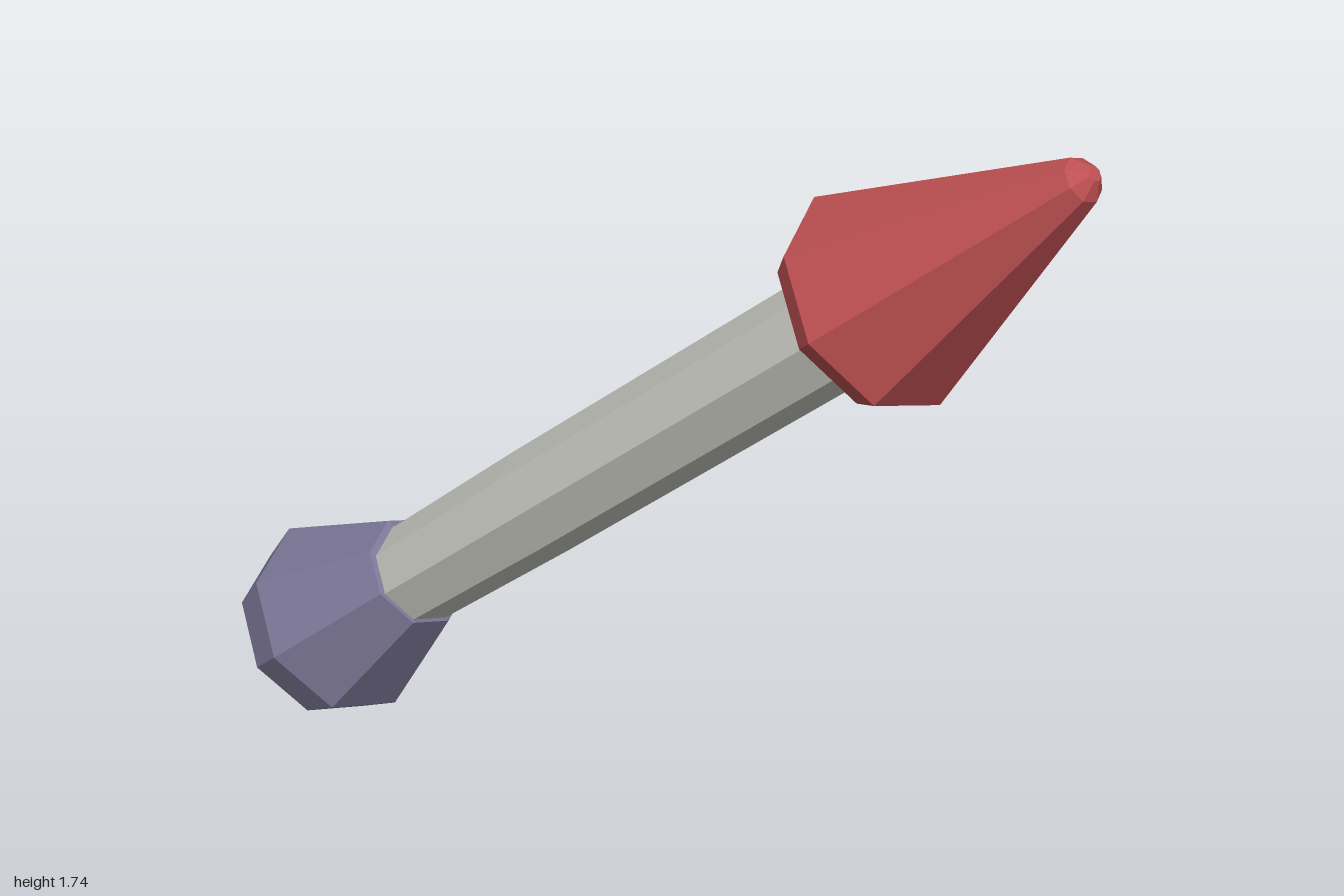
import * as THREE from 'three';

// Eight-sided turned part; profile is [radius, distance along the axis], faceted normals
function turned(name, profile, material) {
  const points = profile.map(([r, y]) => new THREE.Vector2(r, y));
  const geometry = new THREE.LatheGeometry(points, 8).toNonIndexed();
  geometry.computeVertexNormals();
  const mesh = new THREE.Mesh(geometry, material);
  mesh.name = name;
  return mesh;
}

function paint(name, color) {
  const material = new THREE.MeshStandardMaterial({ color });
  material.name = name;
  return material;
}

export function createModel() {
  const red = paint('red', 0xbf5052);
  const grey = paint('light grey', 0xc8c8c1);
  const violet = paint('grey violet', 0x7d7797);

  const rocket = new THREE.Group();
  rocket.name = 'rocket';

  // Pointed nose with a bevelled base and blunt tip
  rocket.add(turned('noseCone', [
    [0, 1.26], [0.197, 1.26], [0.223, 1.309], [0.045, 1.85], [0.016, 1.878], [0, 1.878],
  ], red));

  // Long shaft, very slightly bowed
  const shaft = turned('shaft', [
    [0, -0.22], [0.11, -0.22], [0.115, 0.27], [0.112, 1.27], [0, 1.27],
  ], grey);
  shaft.position.set(-0.005, 0, 0.004);
  rocket.add(shaft);

  // Hollow flared nozzle with a thin inner spike, traced from the spike outwards
  rocket.add(turned('nozzle', [
    [0, -0.54], [0.025, -0.54], [0.045, -0.3], [0.06, -0.3], [0.168, -0.55],
    [0.194, -0.565], [0.222, -0.463], [0.124, -0.171], [0.108, -0.165],
  ], violet));

  // Tilt the axis forwards and up
  rocket.rotation.x = THREE.MathUtils.degToRad(49.7);
  rocket.position.set(0, 0.522, -0.444);

  const model = new THREE.Group();
  model.name = 'model';
  model.add(rocket);
  return model;
}
